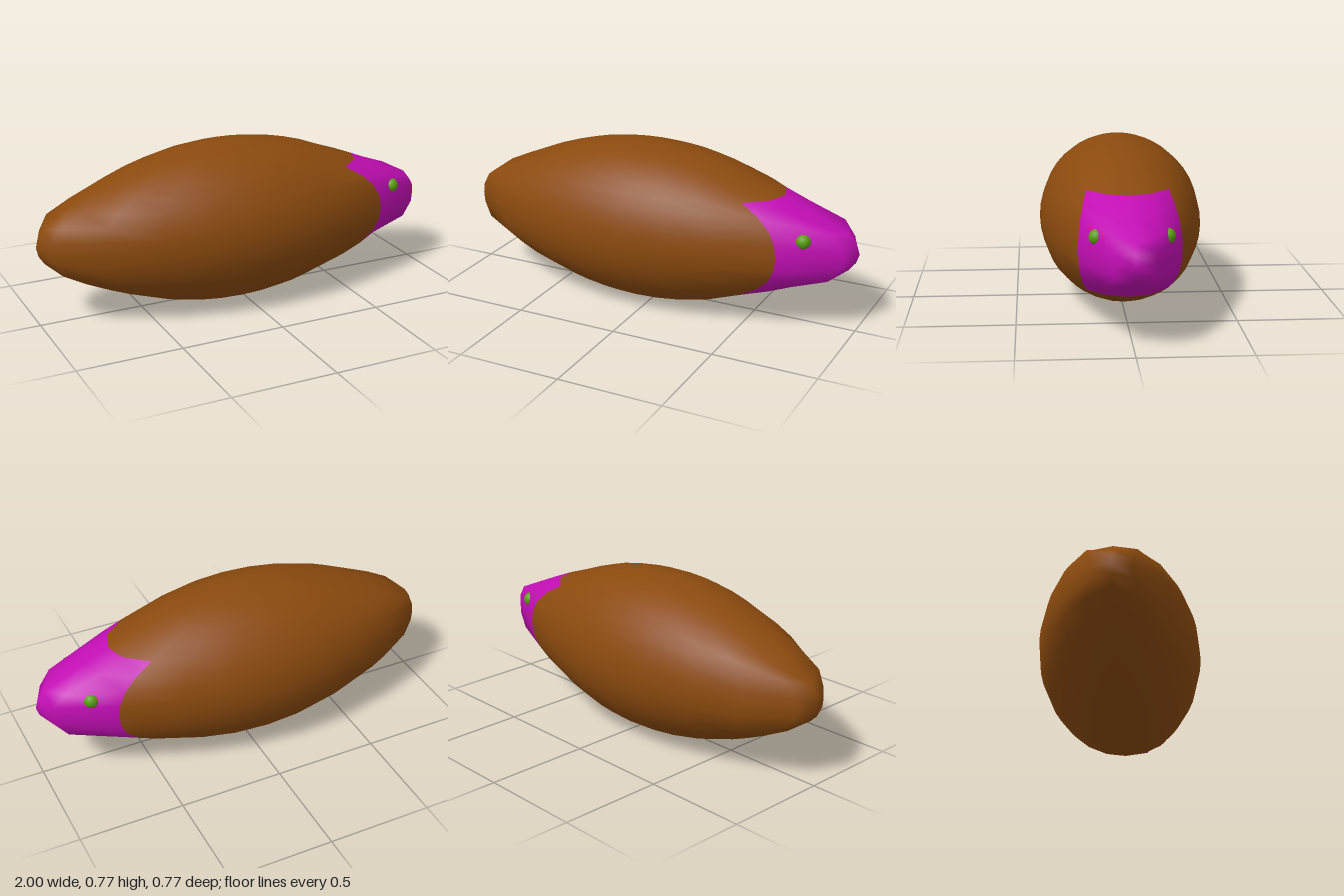
import * as THREE from 'three';
import { mergeVertices } from 'three/addons/utils/BufferGeometryUtils.js';

const R = 0.385, CX = -0.05, DEG = 180 / Math.PI;

// Piecewise-linear lookup through [angle, value] pairs
function lookup(table, a) {
  for (let i = 1; i < table.length; i++) {
    const [a0, v0] = table[i - 1], [a1, v1] = table[i];
    if (a <= a1) return v0 + (v1 - v0) * (a - a0) / (a1 - a0);
  }
  return table[table.length - 1][1];
}
const NOSE_PULL = [[0, 0.28], [18, 0.27], [27, 0.12], [36, 0.06], [45, 0.01], [52, 0]];
const TAIL_PULL = [[0, 0.18], [18, 0.18], [27, 0.10], [36, 0.05], [45, 0.02], [52, 0]];
const PINCH = [[0, 0.72], [18, 0.72], [27, 1]];

// Stretched sphere with both ends drawn out; the front cap is split off as the face
function bodyParts() {
  let geo = new THREE.SphereGeometry(R, 20, 20);
  geo.deleteAttribute('uv');
  geo.deleteAttribute('normal');
  geo = mergeVertices(geo, 1e-4);
  const p = geo.attributes.position;
  const isFace = [];
  for (let i = 0; i < p.count; i++) {
    const x = p.getX(i), y = p.getY(i), z = p.getZ(i);
    const lat = Math.asin(THREE.MathUtils.clamp(y / R, -1, 1)) * DEG;
    const lon = Math.atan2(Math.abs(z), Math.abs(x)) * DEG;
    isFace.push(x > 0 && Math.abs(lat) < 36.5 && lon < 36.5);
    const d = Math.pow(lat ** 4 + (0.8 * lon) ** 4, 0.25);
    const pull = x > 0 ? lookup(NOSE_PULL, d) : -lookup(TAIL_PULL, d);
    const pinch = lookup(PINCH, Math.hypot(lat, lon));
    p.setXYZ(i, CX + 2 * x + pull, R + y * pinch, z * pinch);
  }
  geo.computeVertexNormals();

  const body = [], face = [], idx = geo.index.array;
  for (let i = 0; i < idx.length; i += 3) {
    const tri = [idx[i], idx[i + 1], idx[i + 2]];
    (tri.every(v => isFace[v]) ? face : body).push(...tri);
  }
  return [body, face].map(list => {
    const part = geo.clone();
    part.setIndex(list);
    return part;
  });
}

export function createModel() {
  const group = new THREE.Group();
  const add = (name, geometry, color) => {
    const mesh = new THREE.Mesh(geometry, new THREE.MeshStandardMaterial({ color }));
    mesh.name = name;
    group.add(mesh);
    return mesh;
  };

  const [body, face] = bodyParts();
  add('body', body, 0x8b4a0e);
  add('face', face, 0xc20eb4);

  // Eyes, half sunk into the face
  for (const side of [1, -1]) {
    add(side > 0 ? 'frontEye' : 'backEye', new THREE.SphereGeometry(0.035, 20, 14), 0x5a9e10)
      .position.set(0.782, 0.465, side * 0.15);
  }
  return group;
}
